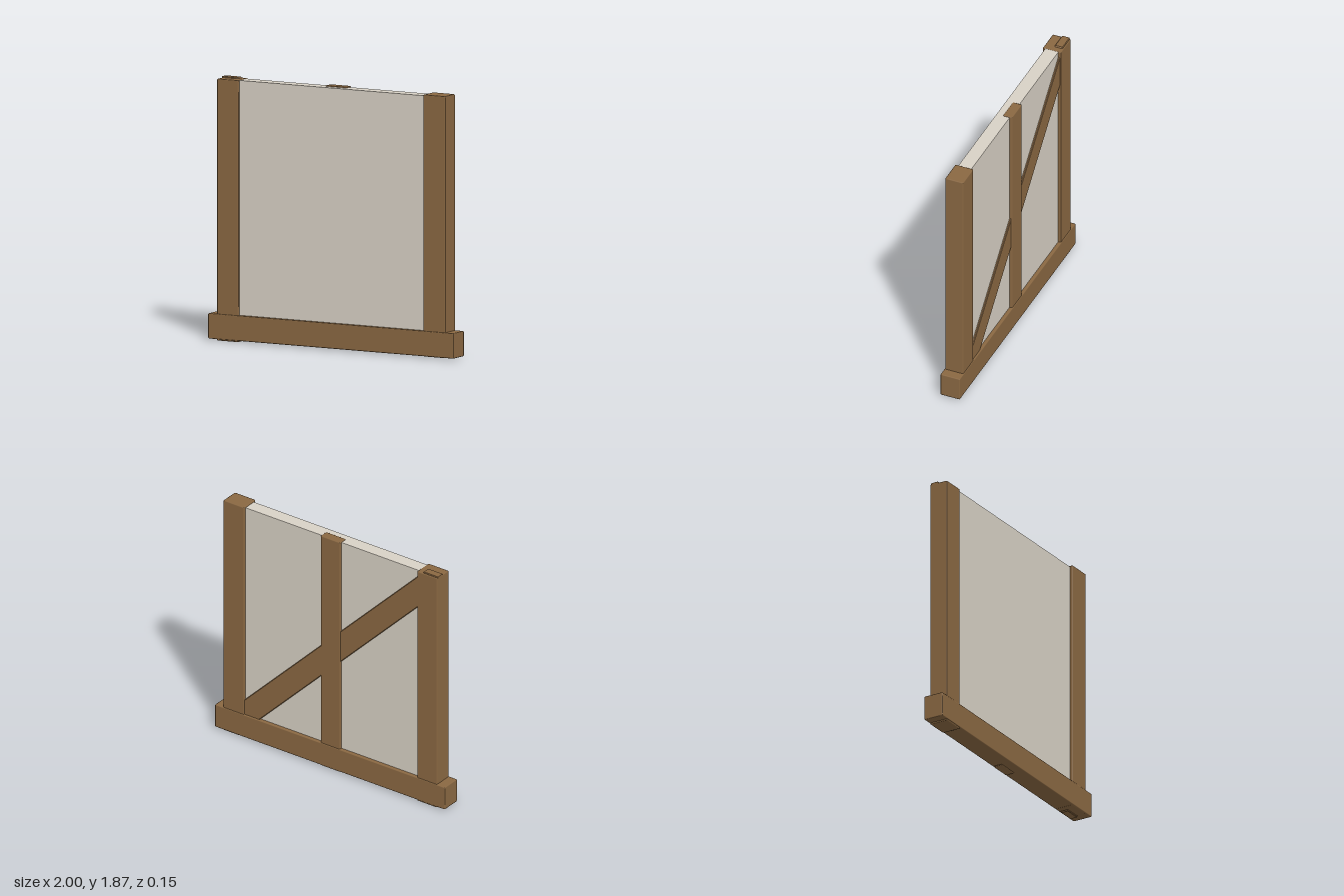
import * as THREE from 'three';
import { RoundedBoxGeometry } from 'three/addons/geometries/RoundedBoxGeometry.js';

const wood = new THREE.MeshStandardMaterial({ color: 0x8a6842 });
const plaster = new THREE.MeshStandardMaterial({ color: 0xd8d1c5 });

export function createModel() {
  const model = new THREE.Group();

  const add = (name, geometry, material) => {
    const mesh = new THREE.Mesh(geometry, material);
    mesh.name = name;
    model.add(mesh);
    return mesh;
  };

  // Timber with softened edges, given by its extents
  const timber = (name, x0, x1, y0, y1, z0, z1) => {
    const geometry = new RoundedBoxGeometry(x1 - x0, y1 - y0, z1 - z0, 1, 0.007);
    add(name, geometry, wood).position.set((x0 + x1) / 2, (y0 + y1) / 2, (z0 + z1) / 2);
  };

  timber('sillBeam', -1, 1, 0.01, 0.19, -0.075, 0.075);
  timber('leftPost', 0.75, 0.93, 0.008, 1.87, -0.07, 0.07);
  timber('rightPost', -0.93, -0.755, 0, 1.862, -0.07, 0.07);
  timber('middleStud', -0.085, 0.085, 0.004, 1.867, -0.07, 0);

  // Diagonal brace, its ends cut to the corners of the frame
  const bevel = 0.005;
  const outline = [
    [-0.925, 1.865], [-0.925, 1.745], [0.81, 0.005],
    [0.925, 0.005], [0.925, 0.125], [-0.81, 1.865],
  ].map(([x, y]) => new THREE.Vector2(x, y));
  const brace = new THREE.ExtrudeGeometry(new THREE.Shape(outline), {
    depth: 0.063 - 2 * bevel, bevelEnabled: true,
    bevelSize: bevel, bevelThickness: bevel, bevelSegments: 1,
  });
  brace.translate(0, 0, -0.063 + bevel);
  add('diagonalBrace', brace, wood);

  // Plaster infill between the posts
  const panel = new THREE.BoxGeometry(1.56, 1.76, 0.1);
  add('infillPanel', panel, plaster).position.set(0, 0.98, 0);

  return model;
}
